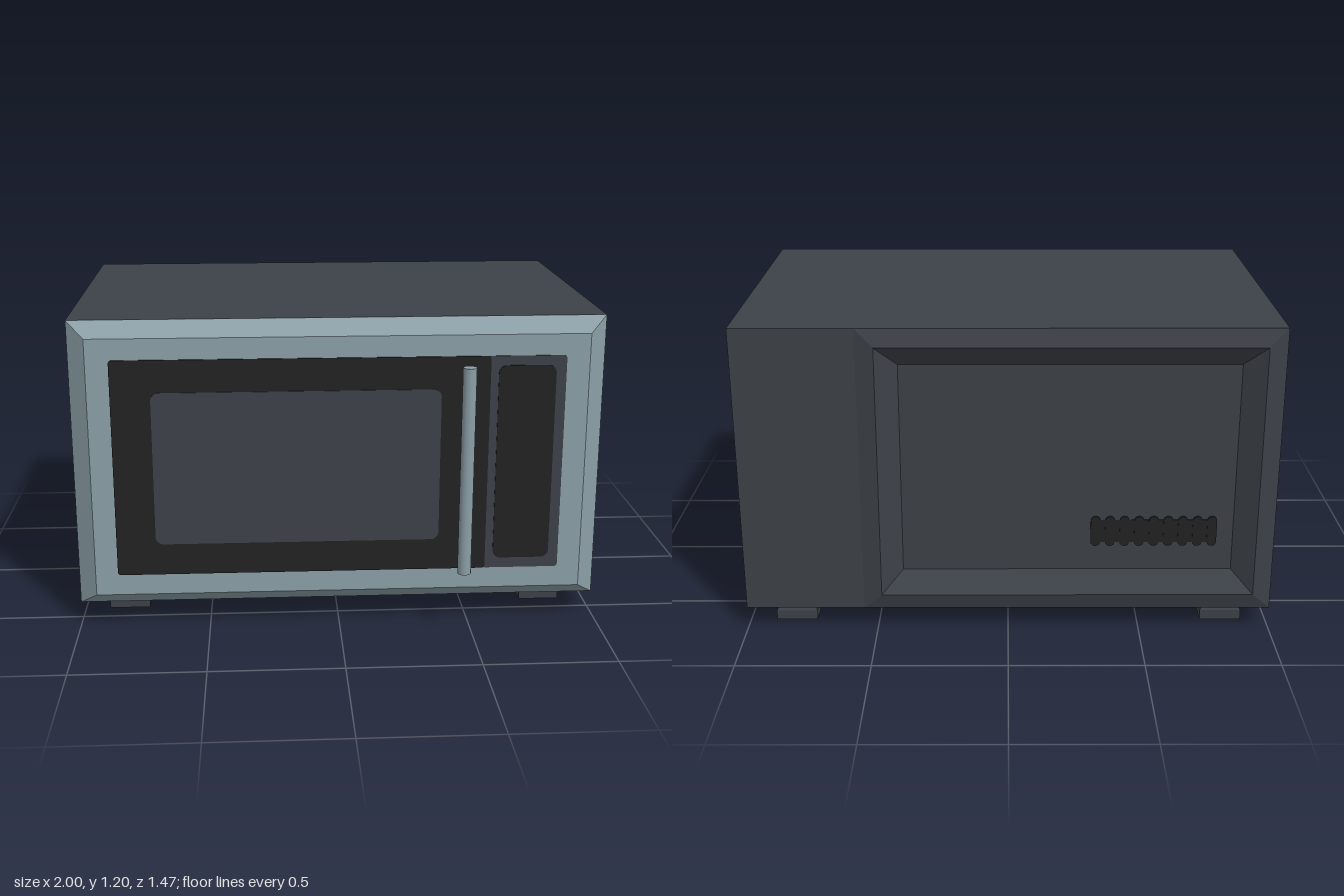
import * as THREE from 'three';

const slate = new THREE.MeshStandardMaterial({ color: 0x3d4148 });
slate.name = 'slate';
const steel = new THREE.MeshStandardMaterial({ color: 0x8b9fa7 });
steel.name = 'steel';
const black = new THREE.MeshStandardMaterial({ color: 0x222222 });
black.name = 'black';

// Joins rectangular rings [x0, x1, y0, y1, z], listed front to back, with flat faces
function loft(rings, frontCap, backCap) {
  const pos = [];
  const loops = rings.map(([x0, x1, y0, y1, z]) =>
    [[x0, y0, z], [x1, y0, z], [x1, y1, z], [x0, y1, z]]);
  const quad = (a, b, c, d) => pos.push(...a, ...b, ...c, ...a, ...c, ...d);
  for (let r = 0; r < loops.length - 1; r++) {
    for (let i = 0; i < 4; i++) {
      const j = (i + 1) % 4;
      quad(loops[r][i], loops[r + 1][i], loops[r + 1][j], loops[r][j]);
    }
  }
  if (frontCap) quad(...loops[0]);
  if (backCap) quad(...[...loops[loops.length - 1]].reverse());
  const geo = new THREE.BufferGeometry();
  geo.setAttribute('position', new THREE.Float32BufferAttribute(pos, 3));
  geo.computeVertexNormals();
  return geo;
}

// Thin rounded rectangle whose front lies at z + depth
function plate(x0, x1, y0, y1, r, z, depth) {
  const s = new THREE.Shape();
  s.moveTo(x0 + r, y0);
  s.lineTo(x1 - r, y0);
  s.absarc(x1 - r, y0 + r, r, -Math.PI / 2, 0);
  s.lineTo(x1, y1 - r);
  s.absarc(x1 - r, y1 - r, r, 0, Math.PI / 2);
  s.lineTo(x0 + r, y1);
  s.absarc(x0 + r, y1 - r, r, Math.PI / 2, Math.PI);
  s.lineTo(x0, y0 + r);
  s.absarc(x0 + r, y0 + r, r, Math.PI, Math.PI * 1.5);
  const geo = new THREE.ExtrudeGeometry(s, { depth, bevelEnabled: false, curveSegments: 6 });
  geo.translate(0, 0, z);
  return geo;
}

export function createModel() {
  const model = new THREE.Group();
  model.name = 'microwaveOven';
  const add = (name, geo, mat, parent = model) => {
    const mesh = new THREE.Mesh(geo, mat);
    mesh.name = name;
    parent.add(mesh);
    return mesh;
  };
  const Y0 = 0.085, Y1 = 1.197, FRONT = 0.55, BACK = -0.715, FACE = 0.615;

  // Case: open-backed shell, flat strip and raised back panel with a recess
  add('case', loft([[-1, 1, Y0, Y1, FRONT], [-1, 1, Y0, Y1, BACK]], true, false), slate);
  add('backStrip', loft([[0.55, 1, Y0, Y1, BACK + 0.001], [0.55, 1, Y0, Y1, BACK]], false, true), slate);
  add('backPanel', loft([
    [-1, 0.55, Y0, Y1, BACK],
    [-0.93, 0.48, 0.15, 1.13, -0.735],
    [-0.85, 0.4, 0.23, 1.05, -0.675],
  ], false, true), slate);

  // Vent: dark slot crossed by a row of upright rounded slits
  const vent = new THREE.Group();
  vent.name = 'backVent';
  model.add(vent);
  add('ventSlot', plate(-0.79, -0.31, 0.345, 0.435, 0.04, -0.679, 0.004), black, vent);
  for (let i = 0; i < 9; i++) {
    const x = -0.77 + i * 0.055;
    add('ventSlit', plate(x - 0.018, x + 0.018, 0.33, 0.45, 0.017, -0.682, 0.007), black, vent);
  }

  // Bevelled front frame
  add('frontFrame', loft([
    [-0.93, 0.93, 0.14, 1.14, FACE],
    [-1, 1, Y0, Y1, FRONT],
  ], true, false), steel);

  // Door, window and control panel as stacked thin plates
  add('controlPanel', plate(0.55, 0.843, 0.222, 1.06, 0.012, FACE, 0.003), slate);
  add('controlInset', plate(0.59, 0.805, 0.263, 1.024, 0.03, FACE + 0.003, 0.003), black);
  add('door', plate(-0.845, 0.56, 0.222, 1.06, 0.012, FACE, 0.005), black);
  add('window', plate(-0.697, 0.378, 0.345, 0.937, 0.03, FACE + 0.005, 0.003), slate);

  // Handle bar on two brackets
  const handle = new THREE.Group();
  handle.name = 'handle';
  handle.position.set(0.467, 0.64, 0);
  model.add(handle);
  add('handleBar', new THREE.CylinderGeometry(0.026, 0.026, 0.8, 12), steel, handle)
    .position.z = 0.711;
  for (const s of [-1, 1]) {
    add('handleBracket', new THREE.BoxGeometry(0.018, 0.052, 0.09), steel, handle)
      .position.set(0, s * 0.285 - 0.01, 0.658);
  }

  // Feet: narrow neck flaring to a wider pad
  const ring = (hx, hz, y) => [-hx, hx, -hz, hz, y];
  const footGeo = loft([
    ring(0.072, 0.104, Y0 + 0.002), ring(0.072, 0.104, 0.052),
    ring(0.079, 0.111, 0.038), ring(0.079, 0.111, 0),
  ], true, true).rotateX(-Math.PI / 2);
  for (const x of [-0.825, 0.82]) {
    for (const z of [0.31, -0.54]) add('foot', footGeo, slate).position.set(x, 0, z);
  }
  return model;
}
